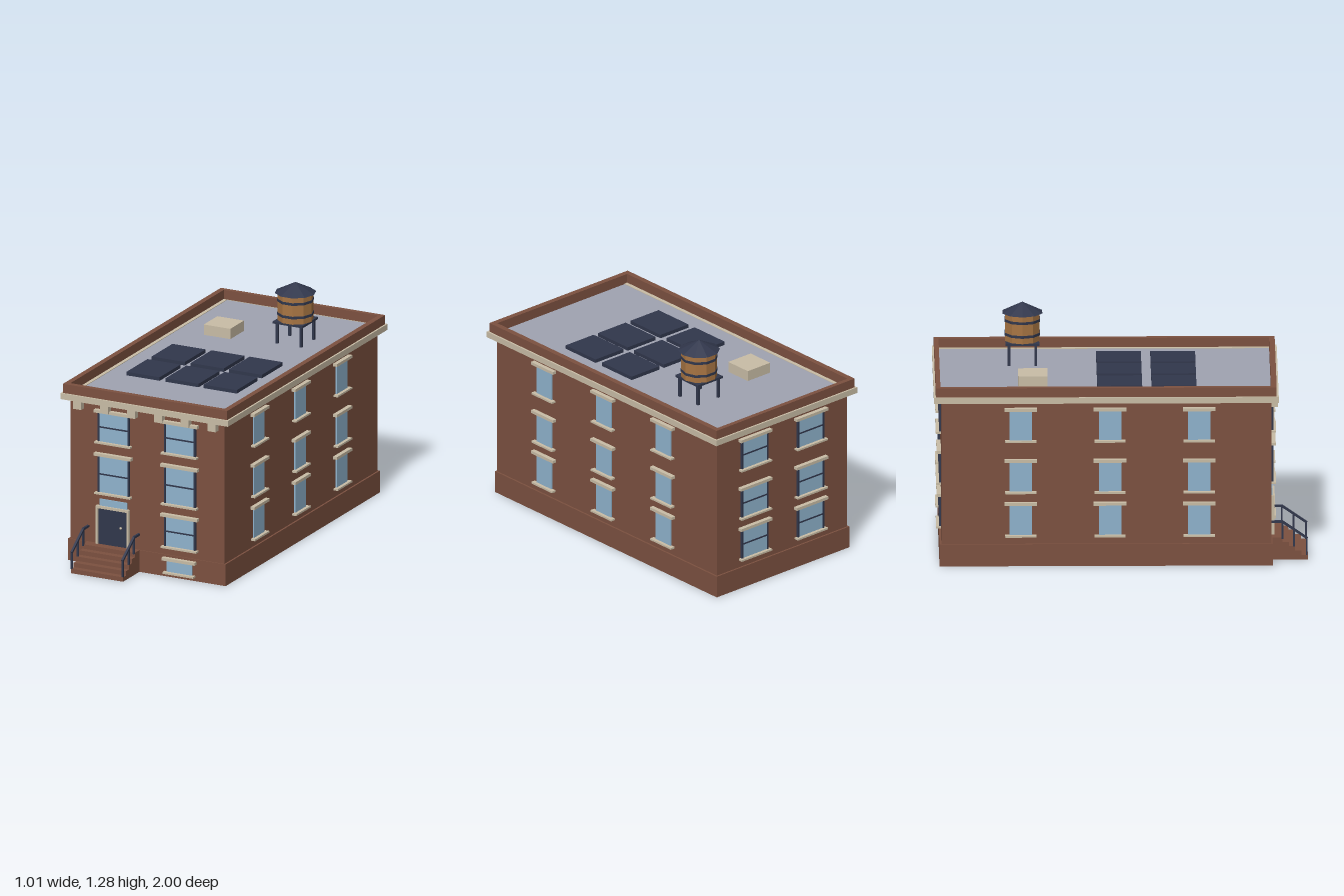
import * as THREE from 'three';

const mat = (name, color) => {
  const m = new THREE.MeshStandardMaterial({ color });
  m.name = name;
  return m;
};

export function createModel() {
  const brick = mat('brick', 0x7c5140);
  const stone = mat('stone', 0xc9bda6);
  const iron = mat('darkIron', 0x31374c);
  const glass = mat('glass', 0x8fb3cd);
  const roofing = mat('roofing', 0xa0a3b1);
  const wood = mat('wood', 0xa87543);
  wood.flatShading = iron.flatShading = true;

  const group = (name, parent) => {
    const g = new THREE.Group();
    g.name = name;
    parent.add(g);
    return g;
  };
  const add = (parent, name, geometry, material) => {
    const m = new THREE.Mesh(geometry, material);
    m.name = name;
    parent.add(m);
    return m;
  };
  // Box given by its limits on each axis
  const box = (parent, name, material, x0, x1, y0, y1, z0, z1) => {
    const m = add(parent, name, new THREE.BoxGeometry(x1 - x0, y1 - y0, z1 - z0), material);
    m.position.set((x0 + x1) / 2, (y0 + y1) / 2, (z0 + z1) / 2);
    return m;
  };

  const model = new THREE.Group();
  model.name = 'building';
  const W = 0.465, F = 0.805, B = -0.96, midZ = -0.078;

  // Walls, base and roof
  box(model, 'walls', brick, -W, W, 0.12, 0.93, B, F);
  box(model, 'base', brick, -0.475, 0.475, 0, 0.122, B - 0.01, F + 0.006);
  box(model, 'roof', roofing, -W, W, 0.93, 0.942, -0.97, F);

  // Cornice and parapet
  const cornice = group('cornice', model);
  const parapet = group('parapet', model);
  for (const s of [-1, 1]) {
    const [a, b] = s < 0 ? [-0.505, -0.445] : [0.445, 0.505];
    box(cornice, 'sideCornice', stone, a, b, 0.912, 0.945, -0.97, 0.805);
    const [c, d] = s < 0 ? [-0.495, -0.465] : [0.465, 0.495];
    box(parapet, 'sideParapet', brick, c, d, 0.945, 0.996, -0.99, 0.832);
  }
  box(cornice, 'frontCornice', stone, -0.505, 0.505, 0.912, 0.945, 0.803, 0.843);
  box(cornice, 'backCornice', stone, -0.505, 0.505, 0.912, 0.945, -1, -0.965);
  box(parapet, 'frontParapet', brick, -0.465, 0.465, 0.94, 0.996, 0.802, 0.832);
  box(parapet, 'backParapet', brick, -0.465, 0.465, 0.94, 0.996, -0.99, -0.965);
  for (let i = 0; i < 6; i++) {
    const x = (i - 2.5) * 0.162;
    box(cornice, 'bracket', stone, x - 0.024, x + 0.024, 0.868, 0.913, F - 0.005, 0.84);
  }

  // Window on a wall plane at local z = 0; y0..y1 bounds the glass
  const addWindow = (wall, u, y0, y1, o) => {
    const w = group('window', wall);
    const h = o.half;
    box(w, 'pane', glass, u - h, u + h, y0, y1, -0.005, 0.008);
    box(w, 'lintel', stone, u - o.lintel, u + o.lintel, y1, y1 + 0.016, -0.005, 0.024);
    box(w, 'sill', stone, u - o.sill, u + o.sill, y0 - 0.01, y0, -0.005, 0.026);
    if (!o.sash) return;
    box(w, 'sashRail', iron, u - h, u + h, (y0 + y1) / 2 - 0.004, (y0 + y1) / 2 + 0.004, 0, 0.011);
    for (const s of [-1, 1])
      box(w, 'jamb', iron, u + s * h - 0.005, u + s * h + 0.005, y0, y1, -0.005, 0.012);
  };
  const wide = { half: 0.09, lintel: 0.112, sill: 0.108, sash: true };
  const narrow = { half: 0.06, lintel: 0.088, sill: 0.083, sash: false };
  const rows = [[0.173, 0.339], [0.415, 0.578], [0.7, 0.863]];

  // Front wall windows
  const front = group('frontWall', model);
  front.position.z = F;
  for (const u of [-0.2, 0.2]) {
    addWindow(front, u, 0.7, 0.863, wide);
    addWindow(front, u, 0.414, 0.619, wide);
  }
  addWindow(front, 0.2, 0.172, 0.339, wide);
  const basement = group('basementWall', front);
  basement.position.z = 0.006;
  addWindow(basement, 0.2, 0.03, 0.094, { half: 0.076, lintel: 0.1, sill: 0.093, sash: false });

  // Front door with transom
  const door = group('door', front);
  box(door, 'doorLeaf', iron, -0.29, -0.118, 0.12, 0.326, -0.005, 0.01);
  box(door, 'doorHead', stone, -0.303, -0.105, 0.324, 0.338, -0.005, 0.018);
  for (const x of [-0.303, -0.118])
    box(door, 'doorJamb', stone, x, x + 0.013, 0.12, 0.325, -0.005, 0.018);
  box(door, 'transom', glass, -0.286, -0.119, 0.338, 0.375, -0.005, 0.008);
  add(door, 'doorKnob', new THREE.SphereGeometry(0.007, 10, 8), stone).position.set(-0.153, 0.23, 0.015);

  // Back wall windows
  const back = group('backWall', model);
  back.position.z = B;
  back.rotation.y = Math.PI;
  for (const u of [-0.2, 0.2])
    for (const [a, b] of rows) addWindow(back, u, a, b, wide);

  // Side wall windows
  for (const s of [-1, 1]) {
    const side = group(s > 0 ? 'leftWall' : 'rightWall', model);
    side.position.x = s * W;
    side.rotation.y = (s * Math.PI) / 2;
    for (const z of [0.418, -0.058, -0.536])
      for (const [a, b] of rows) addWindow(side, -s * z, a, b, narrow);
  }

  // Front steps
  const stoop = group('stoop', model);
  for (let i = 0; i < 5; i++)
    box(stoop, 'step', brick, -0.36, -0.045, i * 0.0245, (i + 1) * 0.0245, 0.79, 1 - i * 0.034);

  // Handrails
  for (const x of [-0.356, -0.05]) {
    const rail = group('handrail', stoop);
    const post = (z, y0, y1) => box(rail, 'post', iron, x - 0.005, x + 0.005, y0, y1, z - 0.005, z + 0.005);
    post(0.994, 0.024, 0.12);
    post(0.926, 0.073, 0.162);
    post(0.864, 0.115, 0.208);
    box(rail, 'topRail', iron, x - 0.006, x + 0.006, 0.203, 0.215, 0.806, 0.868);
    const dy = 0.093, dz = 0.134;
    const slope = add(rail, 'slopedRail', new THREE.BoxGeometry(0.012, 0.012, Math.hypot(dy, dz)), iron);
    slope.position.set(x, 0.1625, 0.931);
    slope.rotation.x = Math.atan2(dy, dz);
  }

  // Solar panels and roof hatch
  for (const x of [-0.235, 0, 0.23])
    for (const z of [-0.005, 0.285])
      box(model, 'solarPanel', iron, x - 0.1, x + 0.1, 0.942, 0.962, z - 0.12, z + 0.12);
  box(model, 'roofHatch', stone, -0.285, -0.125, 0.94, 1.0, -0.547, -0.39);

  // Water tower
  const tower = group('waterTower', model);
  tower.position.set(0.2, 0, -0.52);
  for (const x of [-0.072, 0.072])
    for (const z of [-0.072, 0.072])
      box(tower, 'leg', iron, x - 0.007, x + 0.007, 0.94, 1.057, z - 0.007, z + 0.007);
  box(tower, 'platform', iron, -0.09, 0.09, 1.055, 1.067, -0.09, 0.09);
  const drum = (name, r0, r1, y0, y1, m) => {
    const g = new THREE.CylinderGeometry(r1, r0, y1 - y0, 10, 1, false, Math.PI / 2);
    add(tower, name, g, m).position.y = (y0 + y1) / 2;
  };
  drum('tank', 0.097, 0.097, 1.067, 1.222, wood);
  drum('lowerBand', 0.1, 0.1, 1.098, 1.112, iron);
  drum('upperBand', 0.1, 0.1, 1.174, 1.188, iron);
  drum('tankRoof', 0.112, 0.0, 1.22, 1.277, iron);

  return model;
}
